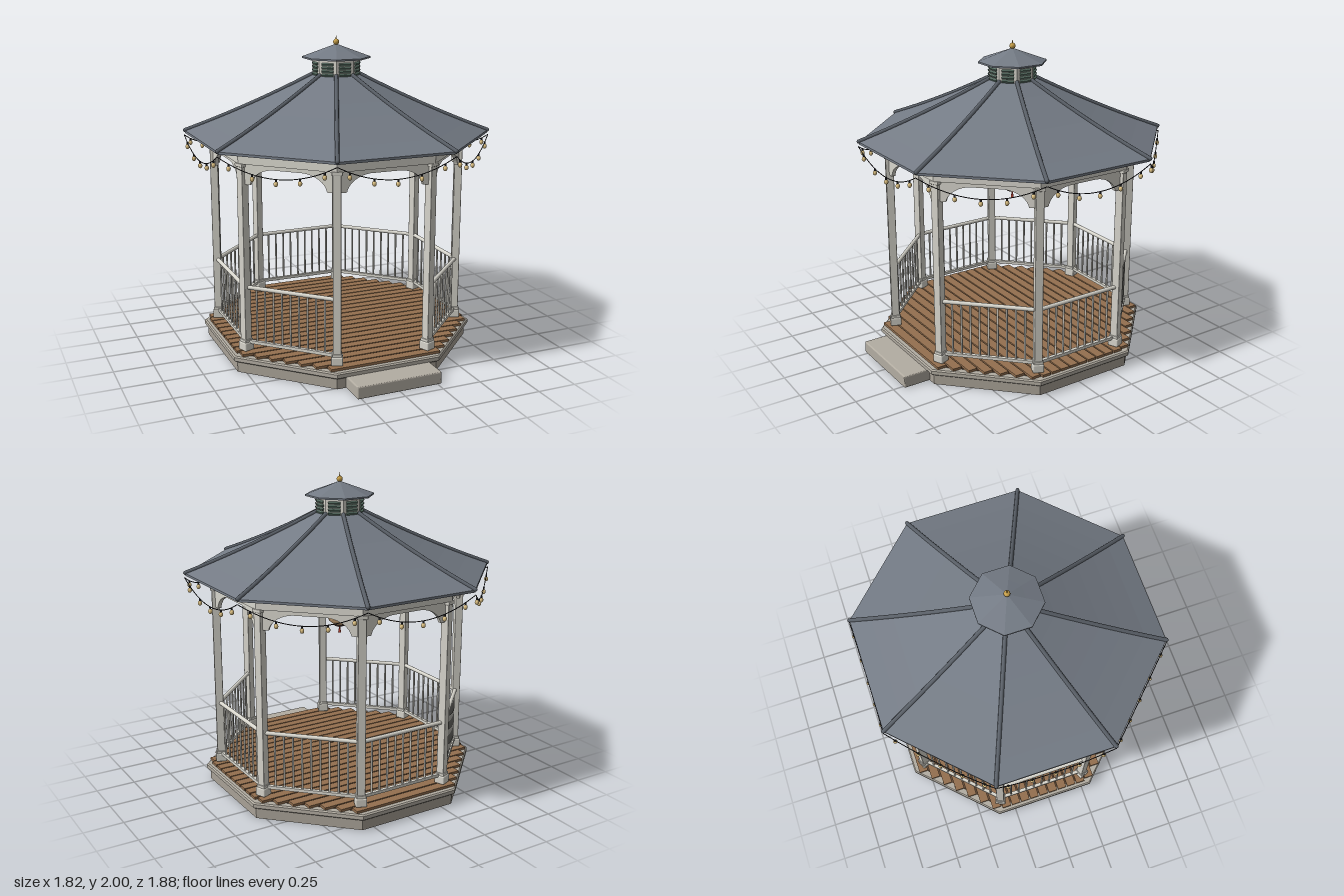
import * as THREE from 'three';
import { RoundedBoxGeometry } from 'three/addons/geometries/RoundedBoxGeometry.js';

const T8 = Math.PI / 8;
const COS = Math.cos(T8), TAN = Math.tan(T8);
const V2 = (x, y) => new THREE.Vector2(x, y);
const V3 = (x, y, z) => new THREE.Vector3(x, y, z);
const mat = (color, flat = false) => new THREE.MeshStandardMaterial({ color, flatShading: flat });

const trim = mat(0xd8d6cd);
const trimFlat = mat(0xd8d6cd, true);
const stone = mat(0xa8a196, true);
const lipMat = mat(0xb3ada2, true);
const wood = mat(0x94704f);
const woodDark = mat(0x5d4532, true);
const slate = mat(0x747b85, true);
const ridgeMat = mat(0x5a6068);
const louvre = mat(0x5c7468);
const gold = mat(0xc9a14a);
const wireMat = mat(0x26262a);
const bulbMat = mat(0xe6c98a);
const paper = mat(0xeec08c);
const darkWood = mat(0x3a2f2a);
const red = mat(0xb8402f);

function add(parent, name, geo, material, x = 0, y = 0, z = 0) {
  const m = new THREE.Mesh(geo, material);
  m.name = name;
  m.position.set(x, y, z);
  parent.add(m);
  return m;
}

// Eight-sided solid whose flat sides face the axes; profile is [apothem, y] pairs
const octagon = (profile) =>
  new THREE.LatheGeometry(profile.map(([a, y]) => V2(a / COS, y)), 8, T8, Math.PI * 2);

const box = (w, h, d) => new THREE.BoxGeometry(w, h, d);
const rod = (r, h, n = 8) => new THREE.CylinderGeometry(r, r, h, n);

// A group turned to octagon side k (side 0 is the front)
function turned(parent, name, angle) {
  const g = new THREE.Group();
  g.name = name;
  g.rotation.y = angle;
  parent.add(g);
  return g;
}

function buildBase(root) {
  add(root, 'baseSkirt', octagon([[0, 0], [0.795, 0], [0.795, 0.075], [0, 0.075]]), stone);
  add(root, 'baseLip', octagon([[0.79, 0.07], [0.808, 0.07], [0.816, 0.077], [0.816, 0.1],
    [0.808, 0.108], [0, 0.108]]), lipMat);
  add(root, 'deckUnderlay', octagon([[0.77, 0.105], [0.77, 0.112], [0, 0.112]]), woodDark);

  // Planks run across, each as long as the octagon is wide there
  const n = 23, pitch = 1.58 / n, A = 0.79;
  for (let i = 0; i < n; i++) {
    const z = (i - (n - 1) / 2) * pitch;
    const half = Math.min(A, A * Math.SQRT2 - Math.abs(z));
    add(root, 'deckPlank', box(half * 2, 0.016, pitch - 0.009), wood, 0, 0.118, z);
  }
  add(root, 'frontStep', new RoundedBoxGeometry(0.55, 0.078, 0.18, 2, 0.008), lipMat, 0, 0.039, 0.88);
}

function buildPosts(root) {
  const shaft = new RoundedBoxGeometry(0.05, 1.18, 0.05, 1, 0.004);
  const foot = new RoundedBoxGeometry(0.07, 0.055, 0.07, 2, 0.008);
  const collar = new RoundedBoxGeometry(0.06, 0.02, 0.06, 1, 0.004);
  const cap = new RoundedBoxGeometry(0.064, 0.022, 0.064, 1, 0.004);
  for (let k = 0; k < 8; k++) {
    const g = turned(root, 'post', T8 + k * Math.PI / 4);
    add(g, 'postShaft', shaft, trim, 0, 0.715, 0.787);
    add(g, 'postFoot', foot, trim, 0, 0.155, 0.787);
    add(g, 'postCollar', collar, trim, 0, 0.19, 0.787);
    add(g, 'postCapital', cap, trim, 0, 1.292, 0.787);
  }
}

function buildFrieze(root) {
  add(root, 'ringBeam', octagon([[0.705, 1.3], [0.757, 1.3], [0.757, 1.41], [0.705, 1.41], [0.705, 1.3]]), trimFlat);

  // Arched panel under the beam on every side
  const s = new THREE.Shape();
  s.moveTo(-0.285, 1.31);
  s.lineTo(-0.285, 1.175);
  s.lineTo(-0.245, 1.175);
  s.bezierCurveTo(-0.235, 1.225, -0.18, 1.268, -0.1, 1.275);
  s.lineTo(0.1, 1.275);
  s.bezierCurveTo(0.18, 1.268, 0.235, 1.225, 0.245, 1.175);
  s.lineTo(0.285, 1.175);
  s.lineTo(0.285, 1.31);
  const arch = new THREE.ExtrudeGeometry(s, { depth: 0.024, bevelEnabled: false, curveSegments: 10 });
  for (let k = 0; k < 8; k++) {
    add(turned(root, 'archSide', k * Math.PI / 4), 'archPanel', arch, trim, 0, 0, 0.716);
  }
}

function buildRailings(root) {
  const topRail = rod(0.013, 0.58, 12).rotateZ(Math.PI / 2);
  const lowRail = box(0.56, 0.02, 0.022);
  const baluster = rod(0.0065, 0.35);
  // The front side stays open
  for (let k = 1; k < 8; k++) {
    const g = turned(root, 'railing', k * Math.PI / 4);
    add(g, 'topRail', topRail, trim, 0, 0.532, 0.727);
    add(g, 'bottomRail', lowRail, trim, 0, 0.183, 0.727);
    for (let i = -4; i <= 4; i++) add(g, 'baluster', baluster, trim, i * 0.056, 0.357, 0.727);
  }
}

function buildRoof(root) {
  // Gently sagging slope, given as [apothem, y]
  const slope = [];
  for (let i = 0; i <= 6; i++) {
    const t = i / 6;
    slope.push([0.895 + (0.13 - 0.895) * t, 1.393 + 0.365 * t - 0.06 * t * (1 - t)]);
  }
  const under = slope.slice().reverse().map(([a, y]) => [a, y - 0.015]);
  add(root, 'roof', octagon([...slope, ...under, slope[0]]), slate);

  const path = new THREE.CatmullRomCurve3(slope.map(([a, y]) => V3(0, y + 0.003, a / COS)));
  const tube = new THREE.TubeGeometry(path, 12, 0.013, 8);
  const end = new THREE.SphereGeometry(0.013, 8, 6);
  for (let k = 0; k < 8; k++) {
    const g = turned(root, 'ridge', T8 + k * Math.PI / 4);
    add(g, 'ridgeCap', tube, ridgeMat);
    add(g, 'ridgeEnd', end, ridgeMat, 0, 1.396, 0.895 / COS);
  }
}

function buildCupola(root) {
  add(root, 'cupolaWall', octagon([[0, 1.72], [0.138, 1.72], [0.138, 1.862], [0, 1.862]]), trimFlat);
  const slat = box(0.076, 0.013, 0.016).rotateX(0.5);
  for (let k = 0; k < 8; k++) {
    const g = turned(root, 'louvreSide', k * Math.PI / 4);
    for (let i = 0; i < 4; i++) add(g, 'louvreSlat', slat, louvre, 0, 1.762 + i * 0.022, 0.14);
  }
  add(root, 'cupolaRoof', octagon([[0, 1.856], [0.2, 1.856], [0.2, 1.866], [0.1, 1.905], [0, 1.945]]), slate);
  add(root, 'finialBall', new THREE.SphereGeometry(0.019, 16, 12), gold, 0, 1.957, 0);
  add(root, 'finialSpike', new THREE.ConeGeometry(0.007, 0.04, 8), gold, 0, 1.98, 0);
}

function buildStringLights(root) {
  const R = 0.9, half = R * TAN;
  const wireY = (t) => 1.365 - 0.4 * t * (1 - t);
  const points = [];
  for (let i = 0; i <= 10; i++) points.push(V3((i / 5 - 1) * half, wireY(i / 10), R));
  const wire = new THREE.TubeGeometry(new THREE.CatmullRomCurve3(points), 20, 0.0028, 5);
  const socket = rod(0.006, 0.016);
  const bulb = new THREE.SphereGeometry(0.013, 10, 8).scale(1, 1.25, 1);
  for (let k = 0; k < 8; k++) {
    const g = turned(root, 'lightString', k * Math.PI / 4);
    add(g, 'wire', wire, wireMat);
    for (let i = 0; i < 5; i++) {
      const t = (i + 0.5) / 5, x = (2 * t - 1) * half, y = wireY(t);
      add(g, 'bulbSocket', socket, wireMat, x, y - 0.007, R);
      add(g, 'bulb', bulb, bulbMat, x, y - 0.027, R);
    }
  }
}

function buildLantern(root) {
  // Paper body with fine horizontal ribs
  const profile = [];
  const n = 44;
  for (let i = 0; i <= n; i++) {
    const a = (i / n - 0.5) * 2.36;
    const r = 0.088 * Math.cos(a) - (i % 4 === 0 ? 0.0025 : 0);
    profile.push(V2(r, 1.106 + 0.088 * Math.sin(a)));
  }
  add(root, 'lanternBody', new THREE.LatheGeometry(profile, 28), paper);
  add(root, 'lanternTopCap', rod(0.035, 0.014, 20), darkWood, 0, 1.191, 0);
  add(root, 'lanternBottomCap', rod(0.035, 0.014, 20), darkWood, 0, 1.022, 0);
  add(root, 'lanternCord', rod(0.003, 0.54, 6), wireMat, 0, 1.465, 0);
  add(root, 'tasselKnot', new THREE.SphereGeometry(0.007, 8, 6), red, 0, 1.006, 0);
  add(root, 'tassel', new THREE.CylinderGeometry(0.004, 0.01, 0.038, 10), red, 0, 0.985, 0);
}

export function createModel() {
  const model = new THREE.Group();
  model.name = 'gazebo';
  const root = new THREE.Group();
  root.name = 'pavilion';
  root.position.z = -0.035;
  model.add(root);
  [buildBase, buildPosts, buildFrieze, buildRailings, buildRoof, buildCupola,
    buildStringLights, buildLantern].forEach((build) => build(root));
  return model;
}
